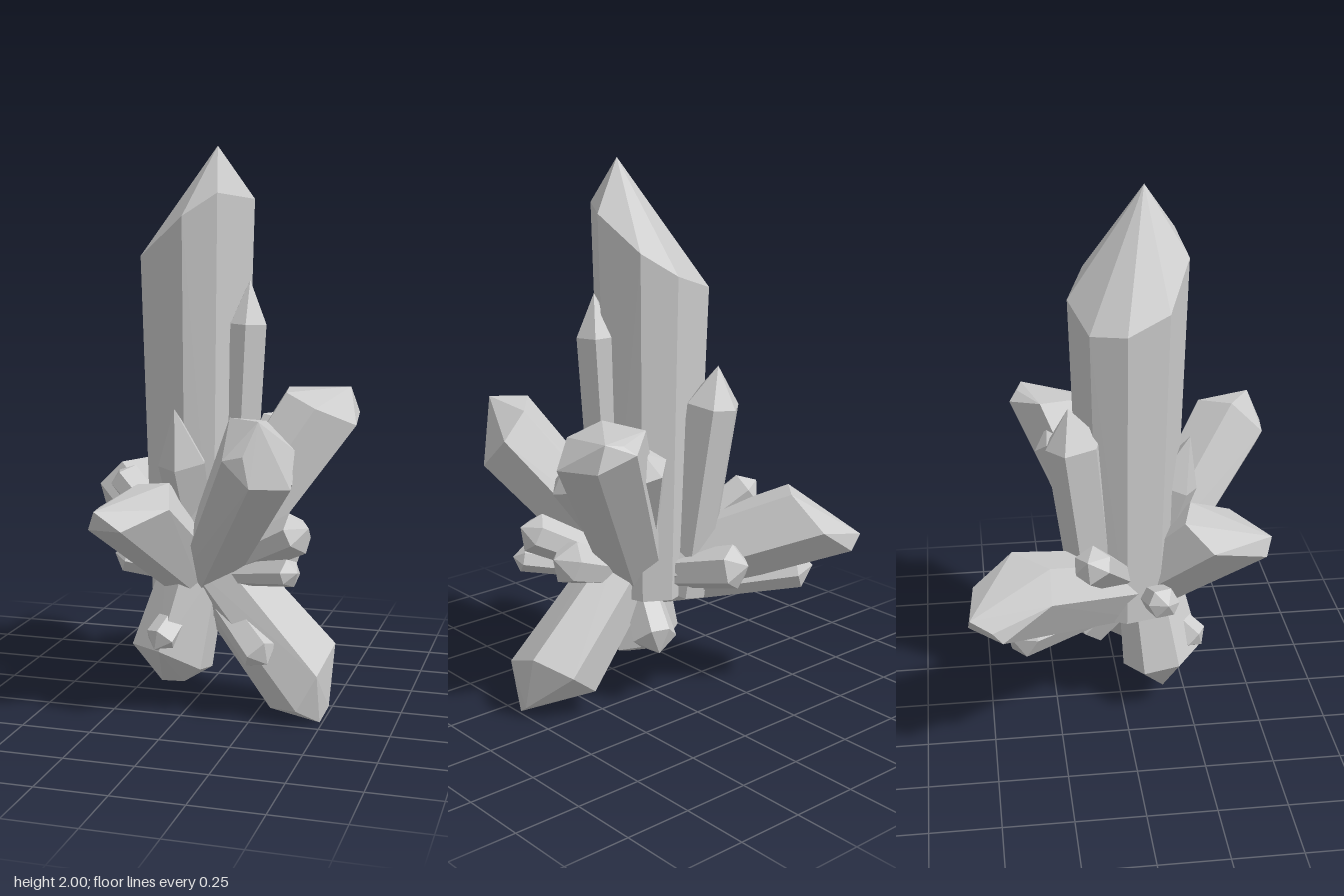
import * as THREE from 'three';
import { ConvexGeometry } from 'three/addons/geometries/ConvexGeometry.js';

const UP = new THREE.Vector3(0, 1, 0);
const CORE = [0.03, 0.47, 0.06];
const vec = (a) => new THREE.Vector3(...a);
const material = new THREE.MeshStandardMaterial({ color: 0xcccccc, flatShading: true });

// One faceted crystal: a widening prism along base -> end, whose shoulders
// drop away from the tip points at the given slope.
function crystal(name, end, r, { tips = [end], base = CORE, slope = 0.7, sides = 6, turn = 0.3, taper = 0.75 } = {}) {
  const foot = vec(base);
  const axis = vec(end).sub(foot).normalize();
  const tilt = new THREE.Quaternion().setFromUnitVectors(UP, axis);
  const points = tips.map(vec);
  const peaks = points.map((p) => {
    const side = p.clone().sub(foot);
    const height = side.dot(axis);
    return { height, side: side.addScaledVector(axis, -height) };
  });
  for (let i = 0; i < sides; i++) {
    const angle = turn + (i / sides) * Math.PI * 2 + 0.12 * Math.sin(i * 2.3);
    const out = new THREE.Vector3(Math.cos(angle), 0, Math.sin(angle)).multiplyScalar(r).applyQuaternion(tilt);
    const shoulder = Math.max(...peaks.map((p) => p.height - slope * p.side.distanceTo(out)));
    points.push(foot.clone().addScaledVector(out, taper));
    points.push(foot.clone().add(out).addScaledVector(axis, shoulder));
  }
  const mesh = new THREE.Mesh(new ConvexGeometry(points), material);
  mesh.name = name;
  return mesh;
}

export function createModel() {
  const group = new THREE.Group();
  group.name = 'crystalCluster';
  const add = (...args) => group.add(crystal(...args));

  // tall central crystal
  add('mainCrystal', [0, 2, 0.025], 0.213, { base: [0, 0.42, 0.025], tips: [[0.09, 2, 0.09]], slope: 1.4, sides: 8, turn: 0.1, taper: 0.82 });

  // six large crystals radiating from the core, each ending in a short ridge
  add('backRightCrystal', [0.36, 1, -0.17], 0.165, { tips: [[0.49, 1.13, -0.33], [0.43, 1.12, -0.35]] });
  add('frontRightCrystal', [0.34, 1, 0.46], 0.15, { tips: [[0.35, 1.11, 0.53], [0.31, 1, 0.575]], slope: 0.9 });
  add('frontLeftCrystal', [-0.18, 0.84, 0.44], 0.155, { tips: [[-0.13, 0.72, 0.52], [-0.22, 0.78, 0.52]], slope: 0.8 });
  add('lowerRightCrystal', [0.45, 0.09, 0.1], 0.165, { base: [0.02, 0.58, 0.07], tips: [[0.49, 0, 0.18], [0.51, 0.04, 0.12]], slope: 1 });
  add('lowerLeftCrystal', [-0.07, 0.14, 0.16], 0.15, { base: [0.02, 0.55, 0.1], tips: [[-0.1, 0.09, 0.15], [-0.01, 0.1, 0.17]], slope: 0.8 });
  add('backLeftCrystal', [-0.43, 0.72, -0.45], 0.155, { tips: [[-0.53, 0.64, -0.5], [-0.49, 0.67, -0.575]], slope: 0.8, taper: 0.85 });

  // slim spikes standing around the central crystal
  add('rearSpike', [-0.13, 1.28, -0.2], 0.1, { base: [-0.07, 0.42, -0.1], slope: 1.4, taper: 0.85 });
  add('rightSpike', [0.205, 1.54, 0.08], 0.075, { base: [0.15, 0.45, 0.06], slope: 2, taper: 0.85 });
  add('frontSpike', [-0.02, 1.1, 0.25], 0.09, { slope: 2.2, sides: 5 });
  add('upperRightSpike', [0.26, 1.04, -0.25], 0.085);

  // small shards growing from the core
  add('leftShard', [-0.37, 0.8, -0.16], 0.07);
  add('backShard', [-0.12, 0.58, -0.38], 0.08);
  add('backLeftShard', [-0.4, 0.53, -0.43], 0.075, { base: [0.03, 0.41, 0.02] });
  add('lowerLeftShard', [-0.08, 0.25, 0.3], 0.06);
  add('lowerRightShard', [0.32, 0.22, 0.26], 0.065);
  add('bottomRearShard', [0.1, 0.23, -0.15], 0.085);
  add('rightShard', [0.45, 0.7, 0.21], 0.075);
  add('rightLowShard', [0.4, 0.6, 0.08], 0.085);
  add('rightFrontShard', [0.43, 0.56, 0.29], 0.05);
  add('rightUpperShard', [0.34, 0.92, 0.1], 0.08);
  add('leftLowShard', [-0.28, 0.55, 0.14], 0.06);
  return group;
}
